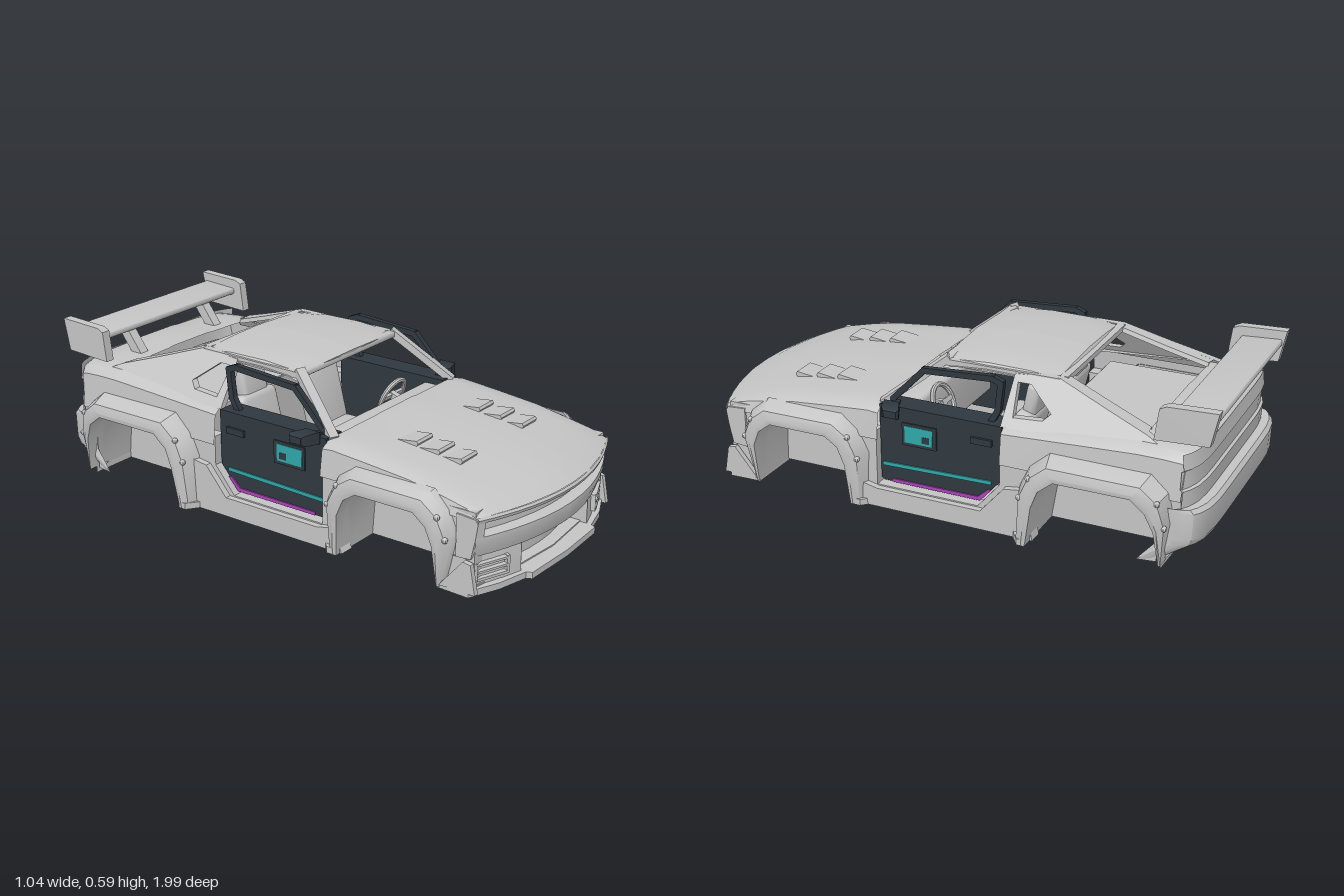
import * as THREE from 'three';
import { toCreasedNormals } from 'three/addons/utils/BufferGeometryUtils.js';
import { RoundedBoxGeometry } from 'three/addons/geometries/RoundedBoxGeometry.js';

const paint = (name, color) => new THREE.MeshStandardMaterial({ name, color, side: THREE.DoubleSide });

// Surface through rows of [x, y, z] points.
function loft(rows) {
  const n = rows[0].length, index = [];
  for (let i = 0; i < rows.length - 1; i++) for (let j = 0; j < n - 1; j++) {
    const a = i * n + j, b = a + n;
    index.push(a, b, a + 1, b, b + 1, a + 1);
  }
  const g = new THREE.BufferGeometry();
  g.setAttribute('position', new THREE.Float32BufferAttribute(rows.flat(2), 3));
  g.setIndex(index);
  return g;
}
const outline = (pts) => new THREE.Shape(pts.map(([a, b]) => new THREE.Vector2(a, b)));

// Plate drawn in (z, y), from x = outer inward.
function sidePlate(pts, outer, depth, hole) {
  const s = outline(pts);
  if (hole) s.holes.push(outline(hole));
  return new THREE.ExtrudeGeometry(s, { depth, bevelEnabled: false }).rotateY(-Math.PI / 2).translate(outer, 0, 0);
}
// Plate drawn in (x, z) by its +x half, hanging down from y = top.
function floorPlate(half, top, depth) {
  const pts = [...half, ...half.slice().reverse().map(([x, z]) => [-x, z])];
  return new THREE.ExtrudeGeometry(outline(pts), { depth, bevelEnabled: false }).rotateX(Math.PI / 2).translate(0, top, 0);
}
function beam(a, b, w, h) {
  const p = new THREE.Vector3(...a), q = new THREE.Vector3(...b), o = new THREE.Object3D();
  o.position.copy(p).add(q).multiplyScalar(0.5);
  o.lookAt(q);
  o.updateMatrix();
  return new THREE.BoxGeometry(w, h, p.distanceTo(q) + w * 0.6).applyMatrix4(o.matrix);
}
const box = (w, h, d, x, y, z, rx = 0, ry = 0) =>
  new THREE.BoxGeometry(w, h, d).rotateX(rx).rotateY(ry).translate(x, y, z);
const soft = (w, h, d, r, x, y, z, rx = 0) =>
  new RoundedBoxGeometry(w, h, d, 2, r).rotateX(rx).translate(x, y, z);

function mirrored(geo) {
  const g = geo.clone().scale(-1, 1, 1), p = g.attributes.position, a = new THREE.Vector3(), b = new THREE.Vector3();
  for (let i = 0; i < p.count; i += 3) {
    a.fromBufferAttribute(p, i + 1);
    b.fromBufferAttribute(p, i + 2);
    p.setXYZ(i + 1, b.x, b.y, b.z);
    p.setXYZ(i + 2, a.x, a.y, a.z);
  }
  return g;
}

export function createModel() {
  const car = new THREE.Group();
  car.name = 'car';
  const grey = paint('bodyGrey', 0xc4c4c4), dark = paint('doorCharcoal', 0x2f383f);
  const teal = paint('accentTeal', 0x2fa6a8), violet = paint('accentViolet', 0xa842b6);

  const add = (name, geo, mat = grey) => {
    const g = geo.index ? geo.toNonIndexed() : geo;
    g.deleteAttribute('uv');
    g.clearGroups();
    const m = new THREE.Mesh(toCreasedNormals(g, 0.6), mat);
    m.name = name;
    car.add(m);
    return g;
  };
  const pair = (name, geo, mat = grey) => add(name + 'Right', mirrored(add(name + 'Left', geo, mat)), mat);

  // Hood with rounded fenders
  const cols = [0, 0.1, 0.13, 0.25, 0.34, 0.40, 0.43, 0.443];
  const fall = [1, 1, 0.98, 0.965, 0.94, 0.89, 0.74, 0];
  const crown = (z, y, bend, from = 0, power = 2) => cols.slice(from).map((x, i) =>
    [x, 0.27 + (y - 0.27) * fall[i + from], z - bend * x ** power]);
  pair('hood', loft([[0.985, 0.288, 0.55], [0.93, 0.315, 0.55], [0.8, 0.347, 0.45], [0.65, 0.373, 0.28],
    [0.45, 0.393, 0.1], [0.3, 0.408, 0.08], [0.255, 0.402, 0.06]].map(([z, y, b]) => crown(z, y, b))));

  // Rear quarters and deck
  const back = [[-0.235, 0.42], [-0.4, 0.432], [-0.58, 0.445], [-0.73, 0.455]];
  pair('rearQuarter', loft(back.map(([z, y]) => crown(z, y, 0, 4))));
  pair('rearDeck', loft([[-0.73, 0.455, 0], [-0.83, 0.455, -12], [-0.92, 0.45, -30], [-0.935, 0.44, -30]]
    .map(([z, y, b]) => crown(z, y, b, 0, 8))));

  // Front and rear faces, each row is [y, z at centre]
  const xs = [0, 0.08, 0.16, 0.23, 0.30, 0.37, 0.415, 0.443];
  const face = (rows, bend, list = xs, power = 2) => loft(rows.map(([y, z]) => list.map((x) => [x, y, z - bend * x ** power])));
  pair('nose', face([[0.286, 0.985], [0.278, 0.992], [0.266, 0.988], [0.262, 0.94], [0.218, 0.94], [0.213, 0.982],
    [0.19, 0.982], [0.14, 0.965], [0.132, 0.95], [0.13, 0.87], [0.03, 0.87]], 0.55));
  pair('noseEnd', face([[0.266, 0.988], [0.213, 0.982]], 0.55, xs.slice(6)));
  pair('fenderTip', sidePlate([[0.8, 0.285], [0.872, 0.28], [0.882, 0.266], [0.874, 0.21], [0.858, 0.135], [0.8, 0.13]], 0.445, 0.03));
  pair('bumperCorner', face([[0.132, 0.95], [0.12, 0.952], [0.03, 0.955]], 0.55, xs.slice(3)));
  pair('intakeWall', loft([0.03, 0.132].map((y) => [[0.23, y, 0.925], [0.23, y, 0.83]])));
  pair('tail', face([[0.442, -0.935], [0.4, -0.94], [0.385, -0.942], [0.38, -0.934], [0.315, -0.932], [0.31, -0.942],
    [0.245, -0.938]], -30, xs, 8));
  const bumperRows = [[0.248, -0.938], [0.25, -0.97], [0.235, -0.983], [0.14, -0.98], [0.115, -0.967], [0.035, -0.85]];
  pair('rearBumper', loft(bumperRows.map(([y, z]) => [...xs.map((x) => [x, y, z + 30 * x ** 8]),
    [0.456, y, z + 0.075], [0.46, y, Math.max(z + 0.1, -0.86)], [0.45, y, -0.82]])));

  // Fog light housings and slats
  for (const [y, h] of [[0.108, 0.008], [0.082, 0.008], [0.055, 0.01]])
    pair('fogLightSlat', box(0.125, h, 0.03, 0.36, y, 0.884, 0, 0.38));
  for (const [x, z] of [[0.298, 0.906], [0.422, 0.857]])
    pair('fogLightFrame', box(0.012, 0.064, 0.03, x, 0.082, z, 0, 0.38));

  // Splitter and its end fins
  add('splitter', floorPlate([[0.46, 0.74], [0.465, 0.865], [0.35, 0.915], [0.23, 0.945], [0.22, 0.965], [0, 0.975]], 0.03, 0.024));
  pair('splitterFin', sidePlate([[0.75, 0.02], [0.89, 0.02], [0.87, 0.125], [0.84, 0.13]], 0.465, 0.02));

  // Lower body side with wheel arches and door opening
  const frontArch = [[0.74, 0.015], [0.735, 0.17], [0.71, 0.23], [0.66, 0.268], [0.43, 0.268], [0.38, 0.235], [0.352, 0.17], [0.34, 0.015]];
  const rearArch = [[-0.36, 0.015], [-0.385, 0.17], [-0.41, 0.235], [-0.465, 0.28], [-0.74, 0.28], [-0.79, 0.24], [-0.82, 0.17], [-0.835, 0.035]];
  pair('bodySide', sidePlate([[0.868, 0.3], [0.868, 0.03], ...frontArch, ...rearArch, [-0.92, 0.13], [-0.92, 0.24],
    [-0.892, 0.25], [-0.89, 0.3], [-0.235, 0.3], [-0.235, 0.19], [-0.15, 0.09], [0.25, 0.09], [0.25, 0.3]], 0.436, 0.05));
  pair('sill', sidePlate([[0.35, 0.012], [0.31, 0.1], [0.24, 0.085], [-0.17, 0.085], [-0.26, 0.19], [-0.33, 0.2], [-0.37, 0.012]], 0.46, 0.06));

  // Wheel wells, bolted flares that taper towards their feet
  const arches = [['front', frontArch, 0, [0.25, 0.95, 1, 1, 1, 1, 1, 0.6]],
    ['rear', rearArch, 0.018, [0.7, 1, 1, 1, 1, 1, 0.7, 0.1]]];
  for (const [name, arch, wide, taper] of arches) {
    const cz = (arch[0][0] + arch[7][0]) / 2;
    const out = ([z, y], off) => {
      const d = new THREE.Vector2(z - cz, y - 0.06).normalize();
      return [z + d.x * off, Math.max(0.012, y + d.y * off)];
    };
    const ring = (off, x) => arch.map((p, i) => {
      const [z, y] = out(p, off * taper[i]);
      return [x > 0.45 ? x - (1 - taper[i]) * 0.04 : x, y, z];
    });
    pair(name + 'Flare', loft([ring(0.085, 0.425), ring(0.077, 0.45), ring(0.055, 0.488 + wide),
      ring(0.02, 0.5 + wide), ring(0, 0.496 + wide), ring(0, 0.42)]));
    pair(name + 'WellLiner', loft([ring(0, 0.43), ring(0, 0.26)]));
    pair(name + 'WellWall', sidePlate(arch, 0.262, 0.01));
    for (const i of [1, 2, 5, 6]) {
      const [z, y] = out(arch[i], 0.055 * taper[i]);
      pair(name + 'FlareBolt', new THREE.SphereGeometry(0.011, 8, 6).translate(0.484 + wide - (1 - taper[i]) * 0.04, y, z));
    }
  }
  add('floor', floorPlate([[0, -0.85], [0.45, -0.835], [0.26, -0.835], [0.26, -0.36], [0.505, -0.36], [0.505, -0.33],
    [0.45, -0.29], [0.45, 0.27], [0.48, 0.3], [0.48, 0.34], [0.26, 0.34], [0.26, 0.74], [0.46, 0.74], [0.45, 0.865],
    [0.23, 0.9], [0, 0.92]], 0.035, 0.024));

  // Roof
  const roofX = [0, 0.14, 0.24, 0.285, 0.303], roofDrop = [0, 0.004, 0.011, 0.02, 0.042];
  pair('roof', loft([[0.055, 0.55], [0.06, 0.572], [0, 0.583], [-0.12, 0.592], [-0.28, 0.59], [-0.39, 0.578], [-0.405, 0.555]]
    .map(([z, y]) => roofX.map((x, i) => [x, y - (y < 0.56 ? 0.4 : 1) * roofDrop[i], z - 0.15 * x * x * (z > 0.04 ? 1 : 0)]))));
  add('windshieldHeader', soft(0.57, 0.025, 0.035, 0.008, 0, 0.556, 0.04));
  pair('windshieldPillar', beam([0.372, 0.395, 0.245], [0.284, 0.56, 0.04], 0.036, 0.026));
  pair('roofRail', beam([0.288, 0.552, 0.04], [0.288, 0.555, -0.39], 0.025, 0.022));

  // Sloping rear pillars with quarter windows, leaning in towards the roof
  const sail = sidePlate([[-0.225, 0.4], [-0.232, 0.558], [-0.4, 0.567], [-0.58, 0.507], [-0.745, 0.455], [-0.8, 0.43], [-0.8, 0.4]], 0, 0.028,
    [[-0.262, 0.432], [-0.25, 0.535], [-0.3, 0.535], [-0.395, 0.462], [-0.37, 0.438]]);
  const sp = sail.attributes.position;
  for (let i = 0; i < sp.count; i++) sp.setX(i, sp.getX(i) + 0.412 - (sp.getY(i) - 0.4) * 0.69);
  pair('rearPillar', sail);
  pair('rearWindowFrame', loft([[[0.3, 0.567, -0.4], [0.25, 0.565, -0.41], [0.245, 0.548, -0.41]],
    [[0.338, 0.507, -0.58], [0.28, 0.507, -0.58], [0.275, 0.49, -0.58]],
    [[0.374, 0.455, -0.745], [0.308, 0.457, -0.735], [0.303, 0.44, -0.735]]]));
  add('rearWindowHeader', box(0.55, 0.02, 0.03, 0, 0.557, -0.402));

  // Hood louvres
  for (const [z, y] of [[0.475, 0.385], [0.565, 0.376], [0.655, 0.365]])
    pair('hoodLouvre', sidePlate([[z + 0.04, y + 0.006], [z + 0.034, y + 0.015], [z - 0.045, y + 0.005], [z - 0.045, y - 0.02],
      [z + 0.025, y - 0.02]], 0.248, 0.095));

  // Rear wing
  add('wingBlade', soft(0.78, 0.026, 0.155, 0.01, 0, 0.546, -0.905, 0.06));
  pair('wingEndPlate', sidePlate([[-0.795, 0.578], [-0.82, 0.59], [-0.998, 0.597], [-0.972, 0.475], [-0.78, 0.465]], 0.418, 0.036));
  pair('wingStrut', sidePlate([[-0.775, 0.445], [-0.85, 0.545], [-0.9, 0.545], [-0.825, 0.445]], 0.235, 0.04));

  // Interior
  add('dashboard', soft(0.72, 0.2, 0.13, 0.02, 0, 0.275, 0.22));
  add('centreTunnel', box(0.09, 0.14, 0.55, 0, 0.1, -0.08));
  add('rearShelf', box(0.74, 0.02, 0.44, 0, 0.36, -0.55));
  add('rearBulkhead', box(0.74, 0.33, 0.02, 0, 0.2, -0.335));
  pair('seatBase', soft(0.2, 0.09, 0.22, 0.025, 0.19, 0.14, -0.08));
  pair('seatBack', soft(0.2, 0.27, 0.07, 0.025, 0.19, 0.27, -0.225, -0.25));
  pair('headrest', soft(0.135, 0.13, 0.05, 0.018, 0.19, 0.438, -0.268, -0.2));
  add('steeringWheel', new THREE.TorusGeometry(0.068, 0.01, 8, 24).rotateX(0.4).translate(0.2, 0.345, 0.1));
  add('steeringSpoke', box(0.13, 0.018, 0.012, 0.2, 0.345, 0.1, 0.4));
  add('steeringColumn', beam([0.2, 0.345, 0.1], [0.2, 0.31, 0.2], 0.025, 0.025));

  // Doors set into the body, with open window frames
  pair('door', sidePlate([[0.246, 0.398], [0.246, 0.11], [0.235, 0.1], [-0.15, 0.1], [-0.228, 0.19], [-0.23, 0.398]], 0.41, 0.09), dark);
  const frame = [[0.225, 0.395], [0.085, 0.54], [-0.18, 0.557], [-0.212, 0.545], [-0.2, 0.44], [-0.175, 0.395]];
  for (let i = 0; i < 5; i++)
    pair('doorWindowFrame', beam([0.37, frame[i][1], frame[i][0]], [0.37, frame[i + 1][1], frame[i + 1][0]], 0.022, 0.022), dark);
  pair('doorHandle', box(0.014, 0.024, 0.08, 0.413, 0.33, -0.155), dark);
  pair('doorBox', box(0.01, 0.086, 0.136, 0.411, 0.3, 0.088), dark);
  pair('doorScreen', box(0.006, 0.064, 0.11, 0.415, 0.301, 0.09), teal);
  pair('doorScreenMark', box(0.004, 0.024, 0.03, 0.417, 0.29, 0.062), dark);
  pair('doorStripe', beam([0.411, 0.167, 0.235], [0.411, 0.177, -0.19], 0.008, 0.014), teal);
  pair('doorSillStripe', sidePlate([[0.2, 0.1], [0.2, 0.112], [-0.14, 0.114], [-0.18, 0.15], [-0.192, 0.148], [-0.15, 0.1]], 0.415, 0.007), violet);

  // Mirrors
  pair('mirrorArm', beam([0.37, 0.39, 0.2], [0.42, 0.398, 0.18], 0.03, 0.025), dark);
  pair('mirror', loft([[0.405, 0.016, 0.02], [0.415, 0.022, 0.03], [0.47, 0.02, 0.034], [0.482, 0.012, 0.025]].map(([x, h, d]) =>
    [[-1, -1], [1, -1], [1, 1], [-1, 1], [-1, -1]].map(([u, v]) => [x, 0.398 + v * h, 0.2 - (x - 0.4) * 0.4 + u * d]))), dark);
  pair('mirrorCap', box(0.004, 0.026, 0.05, 0.481, 0.398, 0.168), dark);
  return car;
}
